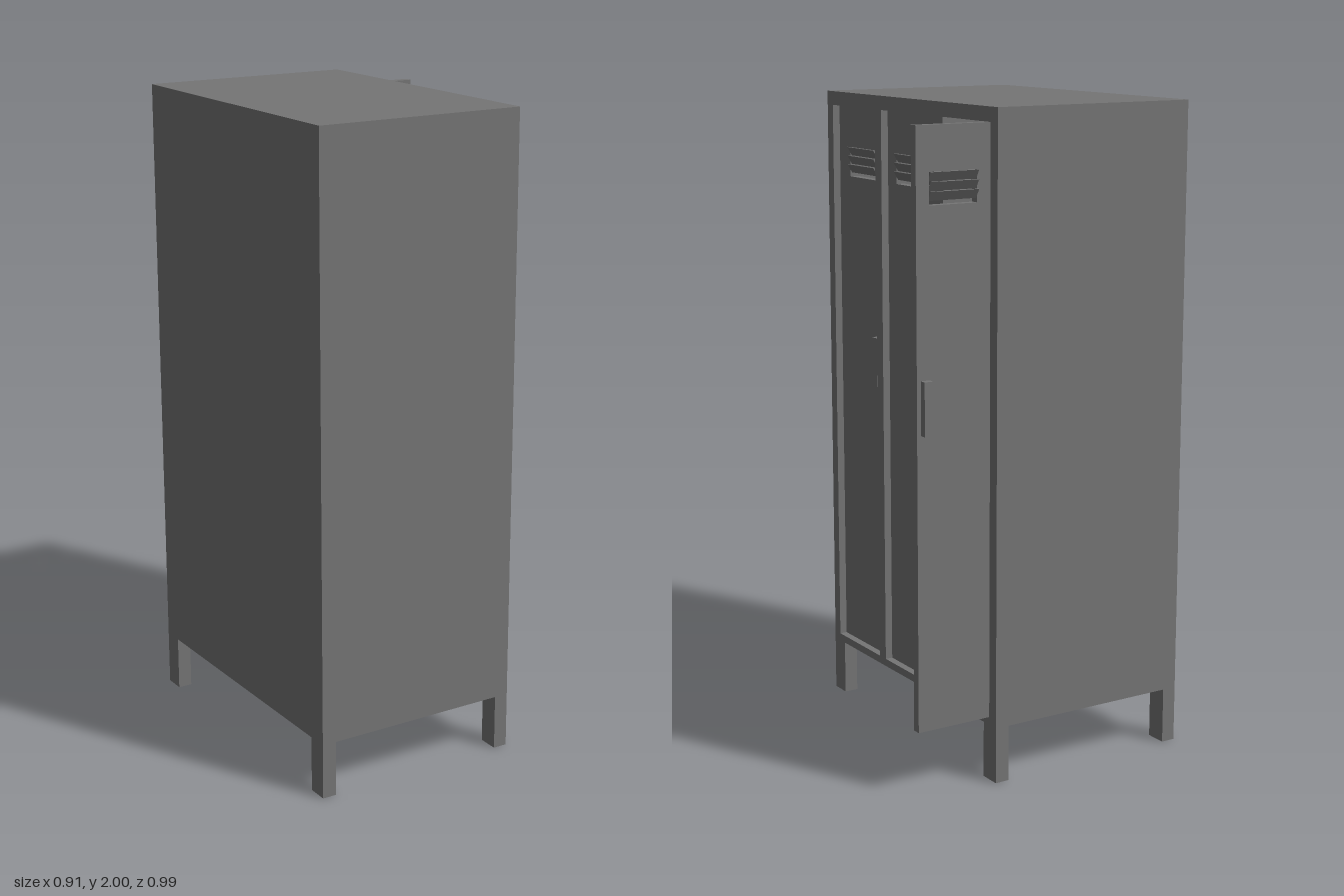
import * as THREE from 'three';

const material = new THREE.MeshStandardMaterial({ color: 0x757575, flatShading: true });

// Box given by its min and max along each axis
function box(parent, name, [x0, x1], [y0, y1], [z0, z1]) {
  const mesh = new THREE.Mesh(new THREE.BoxGeometry(x1 - x0, y1 - y0, z1 - z0), material);
  mesh.position.set((x0 + x1) / 2, (y0 + y1) / 2, (z0 + z1) / 2);
  mesh.name = name;
  parent.add(mesh);
  return mesh;
}

const rect = (C, x0, x1, y0, y1) => new C([
  [x0, y0], [x1, y0], [x1, y1], [x0, y1],
].map(([x, y]) => new THREE.Vector2(x, y)));

const THICK = 0.026;
const INNER_Y = [0.197, 1.957];
const VENT_Y = [1.735, 1.828];

// Door panel along local +x with its outside facing local +z
function makeDoor(name, width, vent, handle) {
  const door = new THREE.Group();
  door.name = name;
  const shape = rect(THREE.Shape, 0, width, ...INNER_Y);
  shape.holes.push(rect(THREE.Path, ...vent, ...VENT_Y));
  const panel = new THREE.Mesh(
    new THREE.ExtrudeGeometry(shape, { depth: THICK, bevelEnabled: false }), material);
  panel.name = 'doorPanel';
  door.add(panel);

  // Ventilation slats, upper edges tilted outward
  for (let i = 0; i < 3; i++) {
    const y = 1.815 - i * 0.027;
    const slat = box(door, 'ventSlat', vent, [y - 0.0155, y + 0.0155], [0.027, 0.029]);
    slat.rotation.x = 0.55;
  }
  box(door, 'handle', handle, [1.085, 1.243], [THICK, THICK + 0.021]);
  return door;
}

export function createModel() {
  const locker = new THREE.Group();
  locker.name = 'lockerCabinet';
  const X = [-0.457, 0.213], Z = [-0.497, 0.497];

  // Cabinet shell
  box(locker, 'topPanel', X, [INNER_Y[1], 2], Z);
  box(locker, 'bottomPanel', X, [0.173, INNER_Y[0]], Z);
  box(locker, 'backPanel', [X[0], -0.43], INNER_Y, Z);
  const walls = [[0.463, Z[1]], [0.157, 0.195], [-0.203, -0.15], [Z[0], -0.46]];
  walls.forEach((z, i) =>
    box(locker, i % 3 ? 'divider' : 'sidePanel', [-0.43, X[1]], INNER_Y, z));

  // Corner legs
  for (const x of [[X[0], X[0] + 0.045], [X[1] - 0.045, X[1]]])
    for (const z of [[Z[0], Z[0] + 0.067], [Z[1] - 0.065, Z[1]]])
      box(locker, 'leg', x, [0, 0.173], z);

  // Two closed doors, set back in their frames
  const first = makeDoor('closedDoor', 0.268, [0.068, 0.233], [0.232, 0.262]);
  first.position.set(0.163, 0, 0.463);
  const second = makeDoor('closedDoor', 0.307, [0.052, 0.262], [0.267, 0.292]);
  second.position.set(0.163, 0, 0.157);
  first.rotation.y = second.rotation.y = Math.PI / 2;

  // Third door swung open, its hinge edge inside the frame
  const open = makeDoor('openDoor', 0.296, [0.042, 0.2], [0.013, 0.042]);
  open.position.set(0.457, 0, -0.433);
  open.rotation.y = Math.PI;

  locker.add(first, second, open);
  return locker;
}
